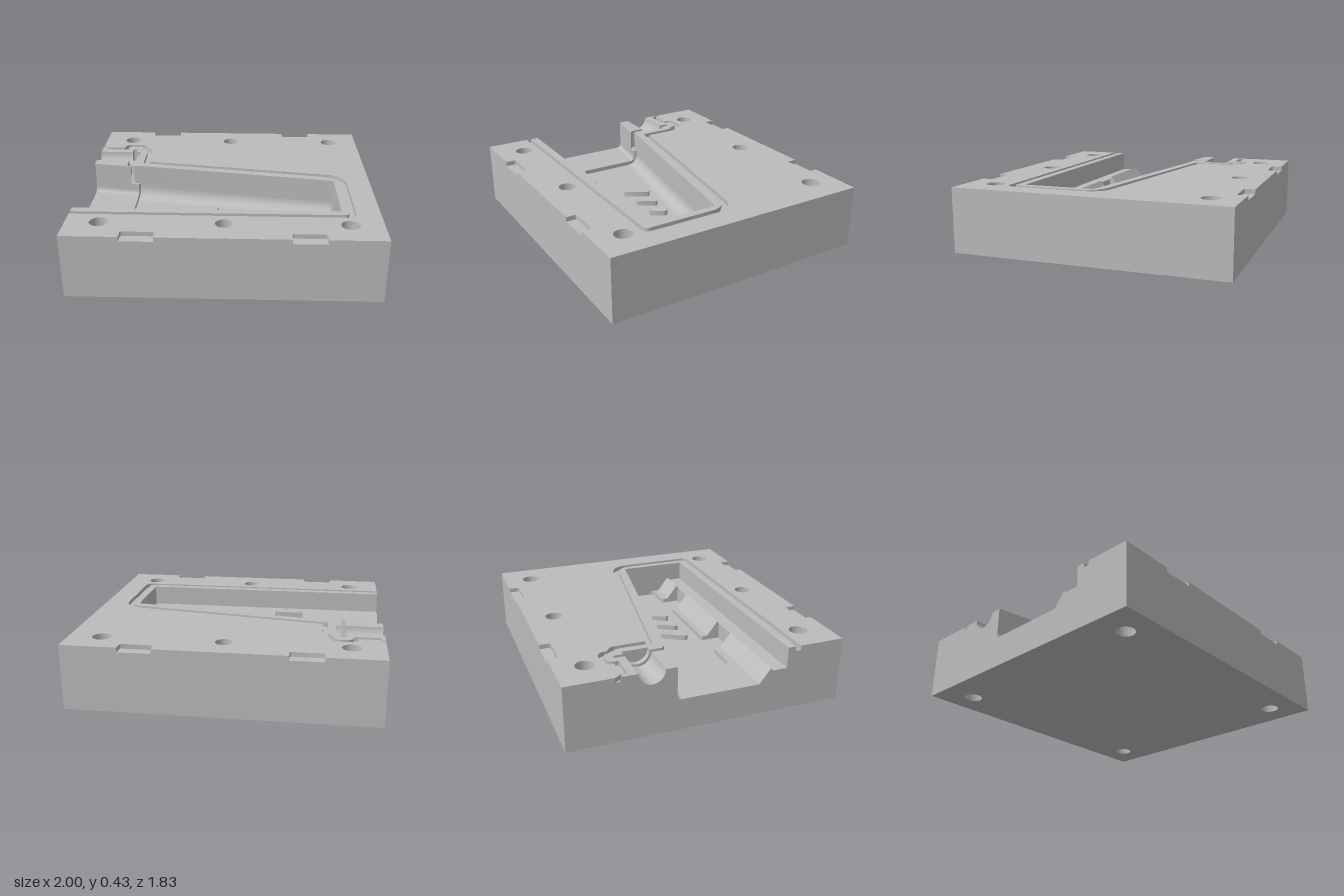
import * as THREE from 'three';
import { toCreasedNormals } from 'three/addons/utils/BufferGeometryUtils.js';

// Heights of the stacked layers
const DEEP = 0.18, FLOOR = 0.21, SHELF = 0.29, TUBE = 0.34, GROOVE = 0.40, TOP = 0.43;
const BACK = -0.915, FRONT = 0.91;

// Closed outline from [x, z, cornerRadius] points; shape y is -z
function outline(points, Kind = THREE.Shape) {
  const path = new Kind();
  const v = points.map(([x, z]) => new THREE.Vector2(x, -z));
  points.forEach(([, , r = 0], i) => {
    const p = v[i], a = v[(i + v.length - 1) % v.length], b = v[(i + 1) % v.length];
    const start = p.clone().add(a.clone().sub(p).setLength(r));
    const end = p.clone().add(b.clone().sub(p).setLength(r));
    if (i === 0) path.moveTo(start.x, start.y); else path.lineTo(start.x, start.y);
    if (r) path.quadraticCurveTo(p.x, p.y, end.x, end.y);
  });
  path.closePath();
  return path;
}

function circle(x, z, r) {
  const path = new THREE.Path();
  path.absarc(x, -z, r, 0, Math.PI * 2, true);
  return path;
}

export function createModel() {
  const group = new THREE.Group();
  const grey = new THREE.MeshStandardMaterial({ color: 0xbcbcbc });

  function add(name, geometry) {
    const mesh = new THREE.Mesh(toCreasedNormals(geometry, 0.6), grey);
    mesh.name = name;
    group.add(mesh);
  }

  // Horizontal slab between two heights
  function slab(name, shape, y0, y1, holes = []) {
    shape.holes.push(...holes);
    const g = new THREE.ExtrudeGeometry(shape, { depth: y1 - y0, bevelEnabled: false, curveSegments: 16 });
    add(name, g.rotateX(-Math.PI / 2).translate(0, y0, 0));
  }

  // Profile of [sideways, height] points swept between two [x, z] points
  function prism(name, profile, from, to) {
    const d = new THREE.Vector3(to[0] - from[0], 0, to[1] - from[1]);
    const length = d.length();
    d.normalize();
    const shape = new THREE.Shape(profile.map(([u, y]) => new THREE.Vector2(u, y)));
    const g = new THREE.ExtrudeGeometry(shape, { depth: length, bevelEnabled: false });
    const m = new THREE.Matrix4().makeBasis(
      new THREE.Vector3(-d.z, 0, d.x), new THREE.Vector3(0, 1, 0), d.clone().negate());
    m.setPosition(to[0], 0, to[1]);
    add(name, g.applyMatrix4(m));
  }

  const boltHoles = () => [-0.787, 0.787].flatMap(x => [circle(x, -0.725, 0.06), circle(x, 0.715, 0.06)]);
  const allHoles = () => [...boltHoles(), circle(0, -0.725, 0.056), circle(0, 0.715, 0.056)];
  const block = [[-1, FRONT], [1, FRONT], [1, BACK], [-1, BACK]];

  // Cavity boundaries, running from the back of the open end to the front
  const slotLeft = [[-0.725, -0.174], [-0.755, -0.2]];
  const slotRight = [[-0.725, -0.215], [-0.70, -0.19], [-0.66, -0.19]];
  const cavityEnd = z => [[0.75, 0.04], [0.75, z], [-1, z]];
  const slotTip = [[-0.755, -0.53], [-0.725, -0.53]];
  const tubeCut = [[-1, -0.465], [-0.755, -0.465], ...slotTip, [-0.725, -0.465],
    [-0.69, -0.465], [-0.69, -0.295], [-0.725, -0.295]];
  const upperCavity = [...tubeCut, ...slotRight, ...cavityEnd(0.52)];

  // Base and recessed pocket with two side notches
  slab('base', outline(block), 0, DEEP, boltHoles());
  const pocket = outline([[-0.67, -0.19], [0.75, 0.04], [0.75, 0.285, 0.035],
    [0.545, 0.285, 0.02], [0.545, 0.42], [0.34, 0.42], [0.34, 0.285, 0.02],
    [-0.225, 0.285, 0.02], [-0.225, 0.42], [-0.435, 0.42], [-0.435, 0.285, 0.02],
    [-0.67, 0.285, 0.035]], THREE.Path);
  slab('pocketLayer', outline(block), DEEP, FLOOR, [...boltHoles(), pocket]);

  // Cavity walls
  slab('lowerCavityWall', outline([...block, [-1, -0.22], [-0.67, -0.165], [-0.66, -0.19], ...cavityEnd(0.42)]),
    FLOOR, SHELF, boltHoles());
  slab('middleCavityWall', outline([...block, [-1, -0.22], ...slotLeft, ...slotTip, ...slotRight, ...cavityEnd(0.52)]),
    SHELF, TUBE, boltHoles());
  slab('upperCavityWall', outline([...block, ...upperCavity]), TUBE, GROOVE, allHoles());
  slab('inletIsland', outline([[-1, -0.22], ...slotLeft, [-0.755, -0.295], [-1, -0.295]]), TUBE, TOP);

  // Top face outside the seal groove, with edge notches
  const notches = (z, depth, dir) => [-0.525, 0.525].flatMap(x => {
    const n = [[x - 0.107, z], [x - 0.107, z + depth, 0.012], [x + 0.107, z + depth, 0.012], [x + 0.107, z]];
    return n;
  }).slice();
  slab('topFace', outline([
    [-1, FRONT], ...notches(FRONT, -0.07), [1, FRONT], [1, BACK], ...notches(BACK, 0.07).reverse(), [-1, BACK],
    [-1, -0.605], [-0.965, -0.555], [-0.83, -0.555], [-0.83, -0.62, 0.06], [-0.65, -0.62, 0.07],
    [-0.65, -0.545], [-0.6, -0.51, 0.03], [-0.6, -0.275], [0.84, -0.05, 0.14], [0.84, 0.61, 0.06], [-1, 0.61],
  ]), GROOVE, TOP, allHoles());

  // Rim between the groove and the cavity
  slab('cavityRim', outline([
    ...upperCavity, [-1, 0.575], [0.80, 0.575, 0.04], [0.80, -0.012, 0.11], [-0.64, -0.245],
    [-0.64, -0.49, 0.03], [-0.68, -0.525], [-0.68, -0.585, 0.05], [-0.80, -0.585, 0.05],
    [-0.80, -0.52], [-0.965, -0.52], [-1, -0.575],
  ]), GROOVE, TOP);

  // Half-round inlet channel, split by the slot
  const r = 0.085, channel = [[-r, TUBE], [r, TUBE]];
  for (let i = 0; i <= 24; i++) {
    const a = Math.PI * i / 24;
    channel.push([r * Math.cos(a), TOP - r * Math.sin(a)]);
  }
  prism('inletChannel', channel, [-1, -0.38], [-0.755, -0.38]);
  prism('inletChannelEnd', channel, [-0.725, -0.38], [-0.69, -0.38]);

  // Rounded foot of the slanted wall
  const fillet = (radius, y) => {
    const points = [[0, y]];
    for (let i = 0; i <= 10; i++) {
      const a = Math.PI / 2 * i / 10;
      points.push([radius * (1 - Math.sin(a)), y + radius * (1 - Math.cos(a))]);
    }
    return points;
  };
  prism('wallFillet', fillet(0.08, DEEP), [-0.66, -0.19], [0.75, 0.04]);
  prism('inletWallFillet', fillet(0.03, FLOOR), [-1, -0.22], [-0.67, -0.165]);

  // Sloped ridge along the front of the cavity, broken by the notches
  const ridge = [[0.33, DEEP], [0.33, FLOOR], [0.408, 0.31], [0.42, SHELF], [0.42, DEEP]];
  for (const [x0, x1] of [[-1, -0.435], [-0.225, 0.34], [0.545, 0.75]]) {
    prism('ridge', ridge, [x0, 0], [x1, 0]);
  }

  // Slanted grip ribs on the pocket floor
  for (const [x0, z0, x1, z1] of [[-0.16, 0.18, -0.085, 0.055], [0.025, 0.18, 0.083, 0.085], [0.21, 0.18, 0.253, 0.11]]) {
    const a = Math.atan2(z0 - z1, x1 - x0), rib = new THREE.Shape();
    rib.absarc(x1, -z1, 0.022, a - Math.PI / 2, a + Math.PI / 2, false);
    rib.absarc(x0, -z0, 0.022, a + Math.PI / 2, a + Math.PI * 1.5, false);
    slab('gripRib', rib, DEEP, DEEP + 0.035);
  }
  return group;
}
